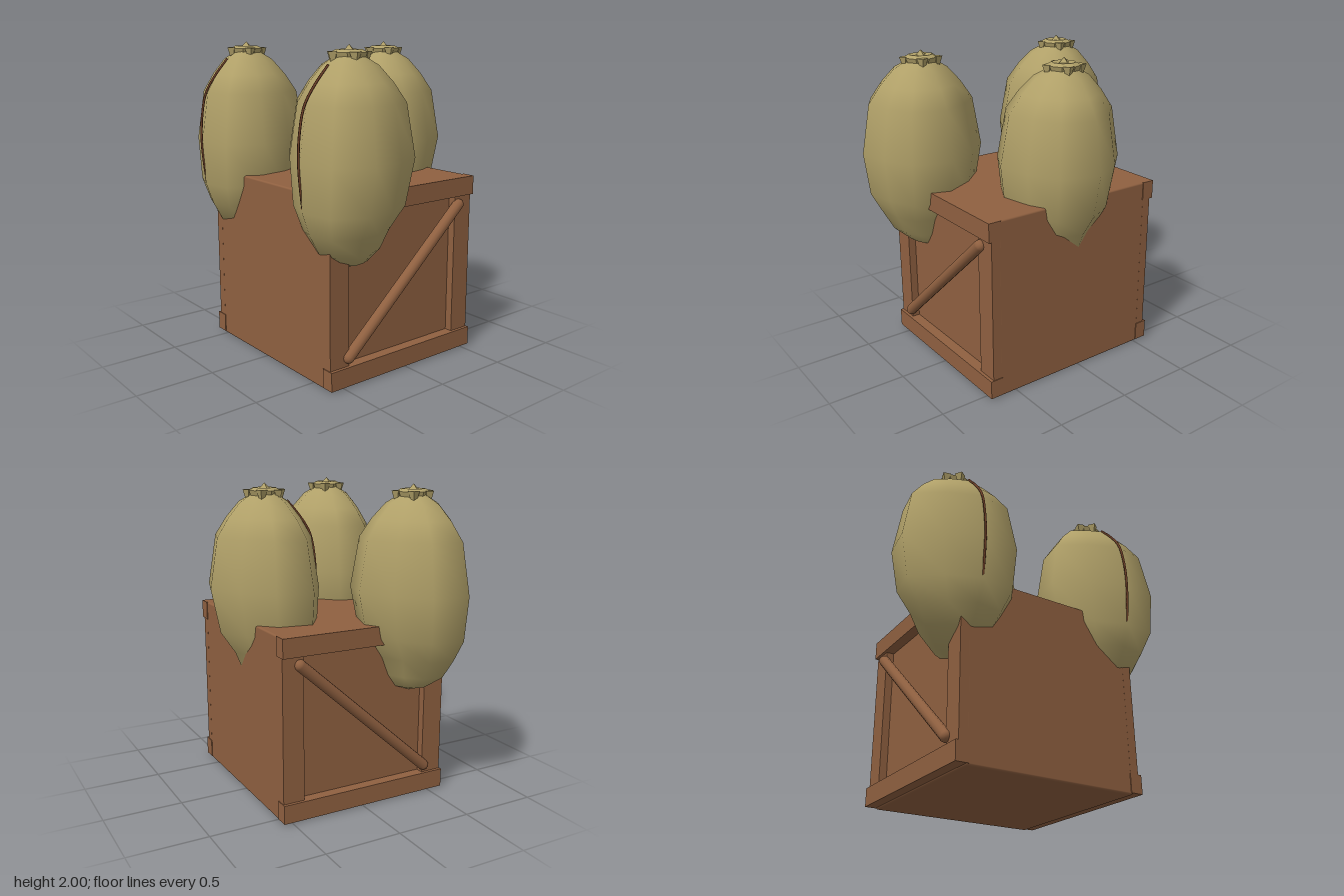
import * as THREE from 'three';
import { RoundedBoxGeometry } from 'three/addons/geometries/RoundedBoxGeometry.js';

const mat = (name, color, extra = {}) => {
  const m = new THREE.MeshStandardMaterial({ color, ...extra });
  m.name = name;
  return m;
};

// Lumpy sack cross-section (x, z), and rows of [height, scale, x shift] from top to bottom
const OUTLINE = [[-0.13, -0.41], [0.1, -0.37], [0.26, -0.2], [0.37, 0.01], [0.29, 0.25],
  [0.1, 0.34], [-0.12, 0.38], [-0.33, 0.26], [-0.365, 0.02], [-0.27, -0.21]];
const ROWS = [[1.94, 0.2, 0], [1.885, 0.44, 0], [1.79, 0.66, 0], [1.675, 0.86, 0], [1.36, 1, 0],
  [1.08, 0.9, -0.02], [0.94, 0.7, -0.04], [0.82, 0.54, -0.03], [0.74, 0.3, 0]];

function sackBody() {
  const pos = [], idx = [], n = OUTLINE.length;
  for (const [y, s, dx] of ROWS)
    for (const [x, z] of OUTLINE) pos.push(x * s + dx, y, z * s);
  for (let r = 0; r < ROWS.length - 1; r++)
    for (let i = 0; i < n; i++) {
      const a = r * n + i, b = r * n + (i + 1) % n;
      idx.push(a, b, a + n, b, b + n, a + n);
    }
  // close both ends
  const top = pos.length / 3, bottom = top + 1, last = (ROWS.length - 1) * n;
  pos.push(0, 1.95, 0, 0, 0.7, 0);
  for (let i = 0; i < n; i++) {
    const j = (i + 1) % n;
    idx.push(top, j, i, bottom, last + i, last + j);
  }
  const g = new THREE.BufferGeometry();
  g.setAttribute('position', new THREE.Float32BufferAttribute(pos, 3));
  g.setIndex(idx);
  g.computeVertexNormals();
  return g;
}

export function createModel() {
  const model = new THREE.Group();
  model.name = 'crateWithSacks';
  const wood = mat('crate wood', 0x8f6040);
  const cloth = mat('sack cloth', 0xb0a068);
  const clothFolds = mat('sack cloth folds', 0xb0a068, { flatShading: true, side: THREE.DoubleSide });
  const thread = mat('seam thread', 0x6e4028);

  const add = (parent, name, geo, material, x = 0, y = 0, z = 0) => {
    const m = new THREE.Mesh(geo, material);
    m.name = name;
    m.position.set(x, y, z);
    parent.add(m);
    return m;
  };

  // Crate, centred slightly off the origin
  const crate = new THREE.Group();
  crate.name = 'crate';
  crate.position.set(-0.02, 0, 0.045);
  model.add(crate);
  add(crate, 'crateBody', new RoundedBoxGeometry(1.15, 1.16, 1.15, 2, 0.012), wood, 0, 0.58, 0);
  for (const s of [1, -1]) {
    for (const y of [0.07, 1.1])
      add(crate, 'rail', new THREE.BoxGeometry(1.16, 0.12, 0.085), wood, 0, y, s * 0.6025);
    for (const x of [-0.505, 0.505])
      add(crate, 'post', new THREE.BoxGeometry(0.14, 1.14, 0.06), wood, x, 0.58, s * 0.595);
    // diagonal brace
    const dx = 0.9, dy = 0.8, len = Math.hypot(dx, dy);
    const brace = add(crate, 'diagonalBrace', new THREE.CapsuleGeometry(0.036, len, 4, 12), wood, 0.01, 0.585, s * 0.629);
    brace.rotation.z = -Math.atan2(dx, dy);
  }

  // Sack parts, shared by all three
  const body = sackBody();
  const neck = new THREE.LatheGeometry(
    [[0.1, 1.84], [0.085, 1.9], [0.105, 1.955], [0.075, 1.972], [0, 1.965]].map(p => new THREE.Vector2(...p)), 8);
  const seam = new THREE.TubeGeometry(new THREE.CatmullRomCurve3(
    [[-0.16, 1.89], [-0.25, 1.79], [-0.325, 1.675], [-0.36, 1.52], [-0.368, 1.36], [-0.355, 1.2], [-0.34, 1.09]]
      .map(([x, y]) => new THREE.Vector3(x, y, 0.015))), 24, 0.008, 5);
  const fold = new THREE.ConeGeometry(0.035, 0.11, 4);

  for (const [x, z] of [[-0.37, 0.56], [-0.37, -0.52], [0.375, 0.015]]) {
    const sack = new THREE.Group();
    sack.name = 'sack';
    sack.position.set(x, 0, z);
    model.add(sack);
    add(sack, 'sackBody', body, cloth);
    add(sack, 'gatheredNeck', neck, clothFolds);
    add(sack, 'seam', seam, thread);
    // pinched tip and hanging folds round the neck
    add(sack, 'pinchedTip', new THREE.ConeGeometry(0.045, 0.04, 4), clothFolds, 0, 1.98, 0);
    for (const a of [0.4, 1.9, 3.3, 4.2, 5.3]) {
      const f = add(sack, 'neckFold', fold, clothFolds, Math.cos(a) * 0.1, 1.905, Math.sin(a) * 0.1);
      f.rotation.set(Math.PI, a, 0);
    }
  }
  return model;
}
